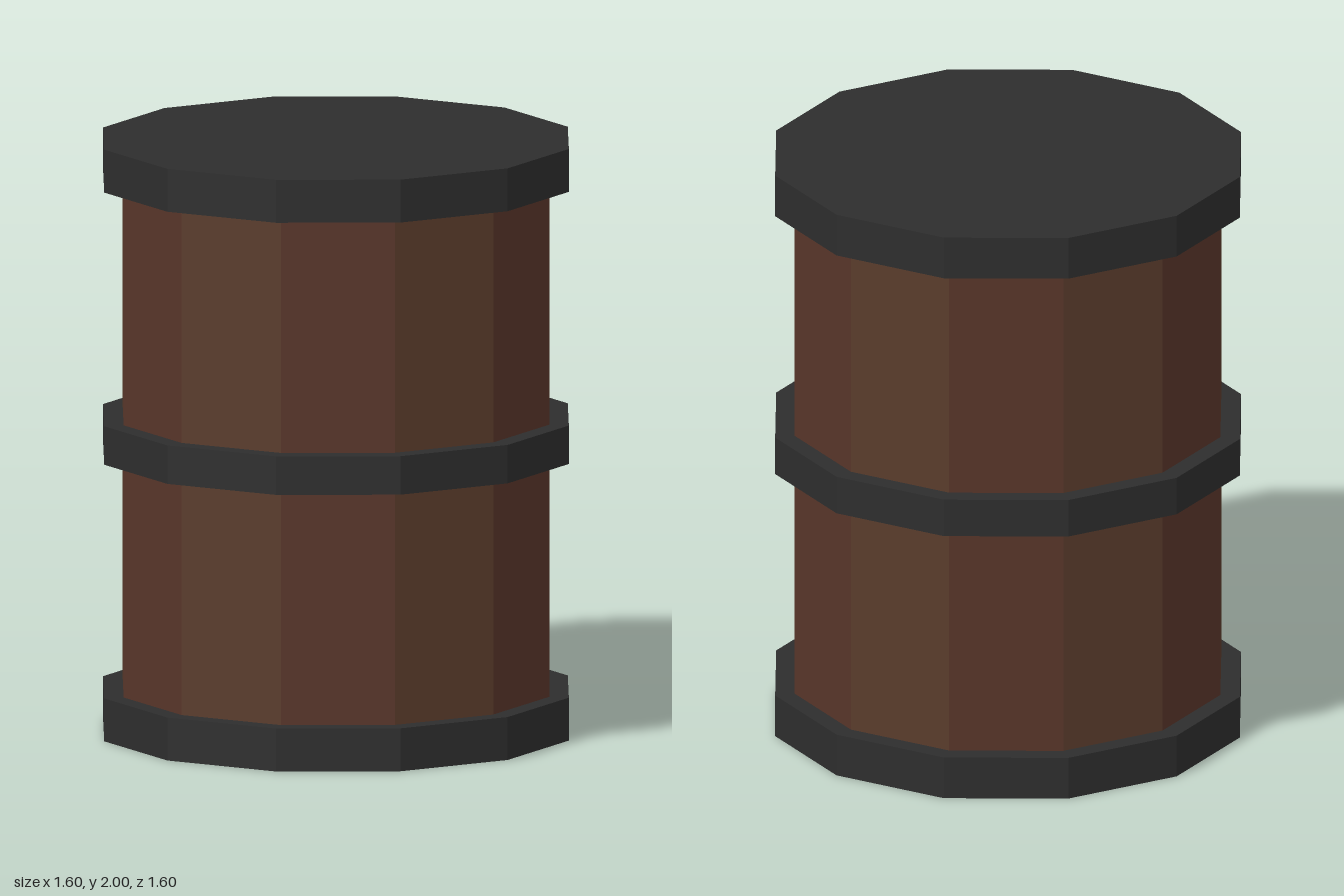
import * as THREE from 'three';

const SIDES = 12;

// Faceted cylinder spanning y0..y1, with hard edges between its sides
function facetedCylinder(radius, y0, y1, open = false) {
  const geo = new THREE.CylinderGeometry(radius, radius, y1 - y0, SIDES, 1, open).toNonIndexed();
  geo.computeVertexNormals();
  geo.translate(0, (y0 + y1) / 2, 0);
  geo.clearGroups();
  return geo;
}

export function createModel() {
  const group = new THREE.Group();
  group.name = 'barrel';

  const redWood = new THREE.MeshStandardMaterial({ color: 0x583529 });
  redWood.name = 'reddish brown wood';
  const brownWood = new THREE.MeshStandardMaterial({ color: 0x593b2b });
  brownWood.name = 'brown wood';
  const iron = new THREE.MeshStandardMaterial({ color: 0x2d2d2d });
  iron.name = 'dark iron';

  // Staves: one per side, in alternating browns; ends are closed by the bands
  const bodyGeo = facetedCylinder(0.733, 0.05, 1.95, true);
  for (let i = 0; i < SIDES; i++) bodyGeo.addGroup(i * 6, 6, i % 2);
  const body = new THREE.Mesh(bodyGeo, [redWood, brownWood]);
  body.name = 'staves';
  group.add(body);

  // Bottom cap, middle hoop and lid
  const bands = [
    ['bottomCap', 0, 0.145],
    ['middleHoop', 0.935, 1.065],
    ['lid', 1.855, 2],
  ];
  for (const [name, y0, y1] of bands) {
    const band = new THREE.Mesh(facetedCylinder(0.8, y0, y1), iron);
    band.name = name;
    group.add(band);
  }

  return group;
}
